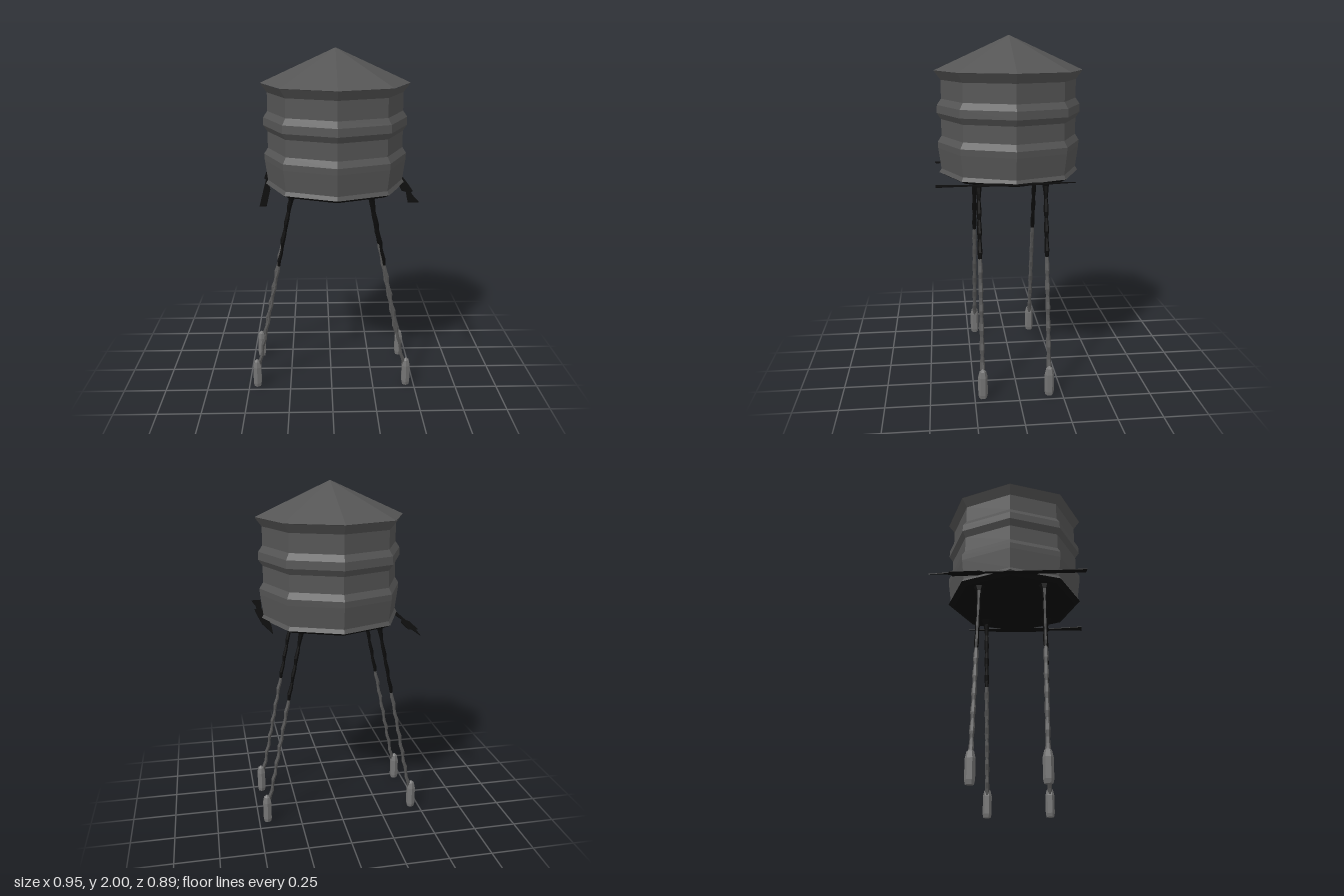
import * as THREE from 'three';

const CX = 0.025, CZ = 0.013; // axis of the tank
const paint = (color, options) => new THREE.MeshStandardMaterial({ color, flatShading: true, ...options });
const grey = paint(0x555555);
const footGrey = paint(0x747474);
const sooty = paint(0x0c0c0c);
const sootyThin = paint(0x0c0c0c, { side: THREE.DoubleSide });

function lathe(name, profile, sides, material) {
  const points = profile.map(([r, y]) => new THREE.Vector2(r, y));
  const mesh = new THREE.Mesh(new THREE.LatheGeometry(points, sides), material);
  mesh.name = name;
  return mesh;
}

// Thin, worn plank lying flat; outline given as [x, z]
function plank(name, outline, y) {
  const shape = new THREE.Shape(outline.map(([x, z]) => new THREE.Vector2(x, -z)));
  const geometry = new THREE.ExtrudeGeometry(shape, { depth: 0.004, bevelEnabled: false });
  geometry.rotateX(-Math.PI / 2);
  const mesh = new THREE.Mesh(geometry, sootyThin);
  mesh.name = name;
  mesh.position.y = y;
  return mesh;
}

// Stretch of a slender gnarled strut, splayed outwards towards the ground
function strut(name, side, firstRow, lastRow, material) {
  const bottom = 0.14, height = 1.075, rows = 30;
  const profile = [];
  for (let i = firstRow; i <= lastRow; i++) {
    const r = i === rows ? 0.036 : i === rows - 1 ? 0.018 : [0.01, 0.014, 0.013][i % 3];
    profile.push([r, bottom + height * i / rows]);
  }
  const mesh = lathe(name, profile, 6, material);
  const p = mesh.geometry.attributes.position;
  for (let i = 0; i < p.count; i++) {
    const t = (p.getY(i) - bottom) / height;
    const wobble = 0.004 * Math.sin(t * 62) * (1 - t * t);
    p.setX(i, p.getX(i) * 0.85 + side * (0.435 - 0.215 * t + wobble));
  }
  mesh.geometry.computeVertexNormals();
  return mesh;
}

export function createModel() {
  const model = new THREE.Group();
  model.name = 'waterTower';

  // Eight-sided tank with two raised hoops
  const tank = lathe('tank', [
    [0.405, 1.228], [0.392, 1.25], [0.408, 1.37], [0.41, 1.405], [0.388, 1.44],
    [0.388, 1.535], [0.412, 1.57], [0.41, 1.615], [0.386, 1.65], [0.386, 1.755], [0.423, 1.805],
  ], 8, grey);

  // Sooty floor closing the tank
  const floor = lathe('tankFloor', [[0, 1.208], [0.37, 1.21], [0.405, 1.228]], 8, sooty);

  // Shallow pointed roof
  const roof = lathe('roof', [[0.385, 1.795], [0.424, 1.807], [0, 2]], 8, grey);
  for (const part of [tank, floor, roof]) {
    part.position.set(CX, 0, CZ);
    model.add(part);
  }

  // Broken planks sticking out from under the tank
  model.add(plank('rightPlank', [
    [-0.38, -0.445], [-0.368, -0.325], [-0.35, -0.315], [-0.352, -0.17], [-0.372, -0.12],
    [-0.362, 0.0], [-0.35, 0.1], [-0.348, 0.44], [-0.384, 0.445], [-0.388, 0.1],
    [-0.39, -0.14], [-0.403, -0.17], [-0.402, -0.325], [-0.39, -0.33],
  ], 1.212));
  model.add(plank('leftPlank', [
    [0.398, -0.31], [0.437, -0.11], [0.446, 0.05], [0.452, 0.215], [0.438, 0.23],
    [0.438, 0.3], [0.452, 0.44], [0.394, 0.44], [0.412, 0.225], [0.392, 0.2],
    [0.392, 0.0], [0.39, -0.15],
  ], 1.228));

  // Four legs, blackened towards the tank, with chunky feet
  for (const side of [-1, 1]) {
    for (const z of [0.204, -0.174]) {
      const leg = new THREE.Group();
      leg.name = 'leg';
      const foot = lathe('foot', [
        [0, 0.005], [0.022, 0.008], [0.027, 0.03], [0.027, 0.135], [0.019, 0.17], [0, 0.185],
      ], 6, footGrey);
      foot.position.x = side * 0.45;
      leg.add(strut('lowerStrut', side, 0, 18, grey), strut('upperStrut', side, 18, 30, sooty), foot);
      leg.position.z = z;
      model.add(leg);
    }
  }
  return model;
}
